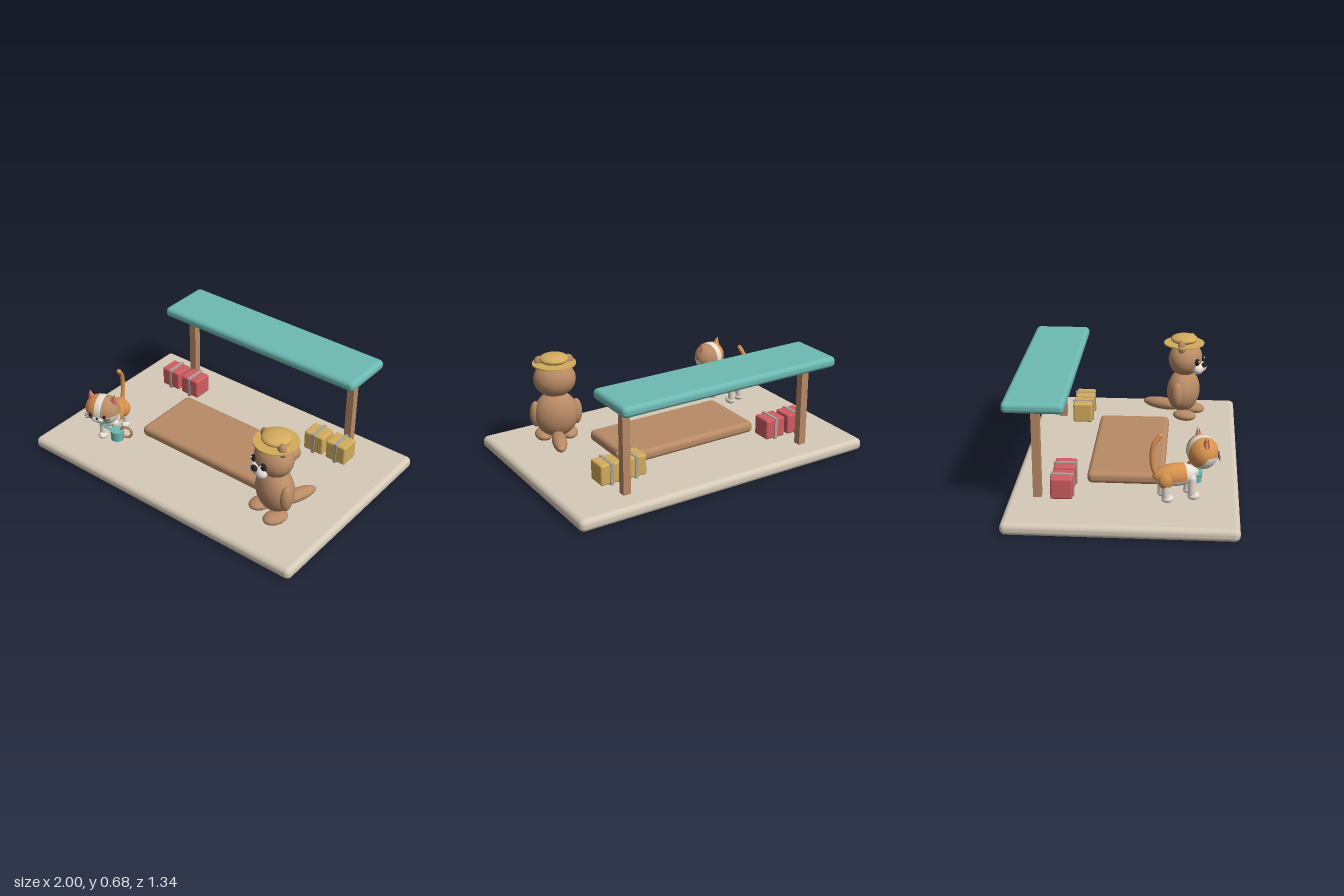
import * as THREE from 'three';
import { RoundedBoxGeometry } from 'three/addons/geometries/RoundedBoxGeometry.js';

const mat = (name, color) => {
  const m = new THREE.MeshStandardMaterial({ color });
  m.name = name;
  return m;
};

export function createModel() {
  const beige = mat('stone beige', 0xd6cab8), cream = mat('cream', 0xe9e0d4);
  const brown = mat('brown', 0xb98b66), orange = mat('orange', 0xd8924e);
  const gold = mat('straw gold', 0xd3ac5c), red = mat('red', 0xcf5d62);
  const teal = mat('teal', 0x6dbab3), grey = mat('grey', 0xa8a49b);
  const black = mat('black', 0x232326);

  const model = new THREE.Group();
  const add = (parent, name, geo, material, x = 0, y = 0, z = 0) => {
    const mesh = new THREE.Mesh(geo, material);
    mesh.name = name;
    mesh.position.set(x, y, z);
    parent.add(mesh);
    return mesh;
  };
  const group = (name, x = 0, z = 0, turn = 0) => {
    const g = new THREE.Group();
    g.name = name;
    g.position.set(x, 0, z);
    g.rotation.y = turn;
    model.add(g);
    return g;
  };
  // rounded box given by its limits on each axis
  const slab = (parent, name, material, [x0, x1], [y0, y1], [z0, z1], r) =>
    add(parent, name, new RoundedBoxGeometry(x1 - x0, y1 - y0, z1 - z0, 4, r), material,
      (x0 + x1) / 2, (y0 + y1) / 2, (z0 + z1) / 2);
  // ellipsoid with radii r at position p
  const blob = (parent, name, material, r, p) =>
    add(parent, name, new THREE.SphereGeometry(1, 32, 20).scale(...r), material, ...p);
  const tube = (parent, name, material, pts, r) =>
    add(parent, name, new THREE.TubeGeometry(
      new THREE.CatmullRomCurve3(pts.map(p => new THREE.Vector3(...p))), 24, r, 10), material);

  // platform, low table and shelter
  slab(model, 'platform', beige, [-1, 1], [0, 0.077], [-0.662, 0.668], 0.033);
  slab(model, 'lowTable', brown, [-0.47, 0.465], [0.083, 0.156], [-0.225, 0.23], 0.03);
  slab(model, 'shelterRoof', teal, [-0.732, 0.73], [0.618, 0.684], [-0.675, -0.32], 0.028);
  for (const s of [-1, 1]) {
    add(model, 'shelterPost', new THREE.BoxGeometry(0.048, 0.56, 0.048), brown, s * 0.628, 0.35, -0.495);
  }

  // strapped luggage
  for (const [x, material] of [[-0.667, red], [-0.505, red], [0.5, gold], [0.663, gold]]) {
    const g = group('suitcase', x, -0.345);
    slab(g, 'case', material, [-0.07, 0.07], [0.107, 0.235], [-0.063, 0.063], 0.012);
    add(g, 'strap', new THREE.BoxGeometry(0.02, 0.138, 0.136), grey, 0, 0.17, 0);
  }

  // standing bear with a straw hat
  const bear = group('bear', 0.643, 0.318, -0.37);
  blob(bear, 'body', brown, [0.137, 0.148, 0.105], [0, 0.277, 0]);
  blob(bear, 'head', brown, [0.13, 0.113, 0.11], [0, 0.502, 0.012]);
  blob(bear, 'tail', brown, [0.045, 0.04, 0.14], [0, 0.155, -0.15]);
  for (const s of [-1, 1]) {
    blob(bear, 'ear', brown, [0.034, 0.045, 0.025], [s * 0.088, 0.607, 0.02]);
    blob(bear, 'arm', brown, [0.036, 0.083, 0.04], [s * 0.125, 0.28, 0.005]);
    blob(bear, 'foot', brown, [0.057, 0.034, 0.08], [s * 0.077, 0.126, 0.042]);
    blob(bear, 'eye', black, [0.021, 0.024, 0.016], [s * 0.05, 0.502, 0.115]);
    blob(bear, 'eyeGlint', cream, [0.006, 0.006, 0.005], [s * 0.05 - 0.006, 0.51, 0.129]);
    blob(bear, 'muzzle', cream, [0.042, 0.037, 0.036], [s * 0.026, 0.449, 0.113]);
  }
  blob(bear, 'nose', black, [0.025, 0.018, 0.016], [0, 0.474, 0.145]);
  add(bear, 'hatBrim', new THREE.CylinderGeometry(0.133, 0.133, 0.01, 48), gold, 0, 0.607, 0);
  blob(bear, 'hatCrown', gold, [0.089, 0.032, 0.089], [0, 0.636, 0]);

  // standing cat holding a cup
  const cat = group('cat', -0.625, 0.33, 0.32);
  blob(cat, 'body', cream, [0.064, 0.066, 0.135], [0, 0.237, -0.03]);
  const coat = new THREE.SphereGeometry(1, 28, 20, Math.PI - 0.3, Math.PI + 0.6, 1.2, Math.PI - 1.2);
  add(cat, 'coat', coat.rotateX(Math.PI / 2).scale(0.066, 0.068, 0.138), orange, 0, 0.237, -0.03);

  // head with two coat patches either side of a pale stripe
  const headAt = [0, 0.362, 0.125];
  blob(cat, 'head', cream, [0.11, 0.097, 0.088], headAt);
  for (const [s, material] of [[-1, orange], [1, brown]]) {
    const patch = new THREE.SphereGeometry(1, 32, 18, -2.5, 4.15, s > 0 ? 0 : Math.PI - 1.37, 1.37);
    add(cat, 'headPatch', patch.rotateZ(-Math.PI / 2).scale(0.112, 0.099, 0.09), material, ...headAt);
    const ear = add(cat, 'ear', new THREE.ConeGeometry(0.035, 0.075, 20).scale(1, 1, 0.55),
      material, s * 0.075, 0.447, 0.12);
    const inner = add(cat, 'innerEar', new THREE.ConeGeometry(0.026, 0.056, 20).scale(1, 1, 0.5),
      red, s * 0.077, 0.445, 0.132);
    ear.rotation.z = inner.rotation.z = -s * 0.25;
    blob(cat, 'eye', black, [0.011, 0.013, 0.007], [s * 0.045, 0.362, 0.206]);
    for (const k of [-1, 0, 1]) {
      tube(cat, 'whisker', black, [[s * 0.035, 0.343 + k * 0.005, 0.206],
        [s * 0.06, 0.343 + k * 0.01, 0.208], [s * 0.088, 0.343 + k * 0.016, 0.204]], 0.0016);
    }
    blob(cat, 'cheek', cream, [0.023, 0.017, 0.016], [s * 0.016, 0.334, 0.205]);

    // legs and paws
    for (const z of [0.055, -0.1]) {
      add(cat, 'leg', new THREE.CapsuleGeometry(0.024, 0.09, 6, 16), cream, s * 0.043, 0.173, z);
      blob(cat, 'paw', cream, [0.029, 0.024, 0.036], [s * 0.043, 0.113, z + 0.01]);
    }
    blob(cat, 'haunch', orange, [0.034, 0.05, 0.045], [s * 0.038, 0.222, -0.1]);
  }
  blob(cat, 'nose', black, [0.009, 0.006, 0.006], [0, 0.347, 0.219]);
  tube(cat, 'tail', orange, [[0, 0.24, -0.135], [0, 0.28, -0.16], [0, 0.37, -0.172],
    [0, 0.44, -0.16], [0, 0.485, -0.125]], 0.014);
  blob(cat, 'tailTip', orange, [0.014, 0.014, 0.014], [0, 0.485, -0.125]);

  // cup, handle and cord
  add(cat, 'cup', new THREE.CylinderGeometry(0.044, 0.04, 0.066, 28), teal, 0.08, 0.178, 0.11);
  add(cat, 'cupHandle', new THREE.TorusGeometry(0.037, 0.008, 10, 28), brown, 0.138, 0.2, 0.1);
  tube(cat, 'cord', teal, [[-0.055, 0.245, 0.07], [-0.02, 0.23, 0.108],
    [0.03, 0.212, 0.115], [0.07, 0.205, 0.11]], 0.009);

  return model;
}
